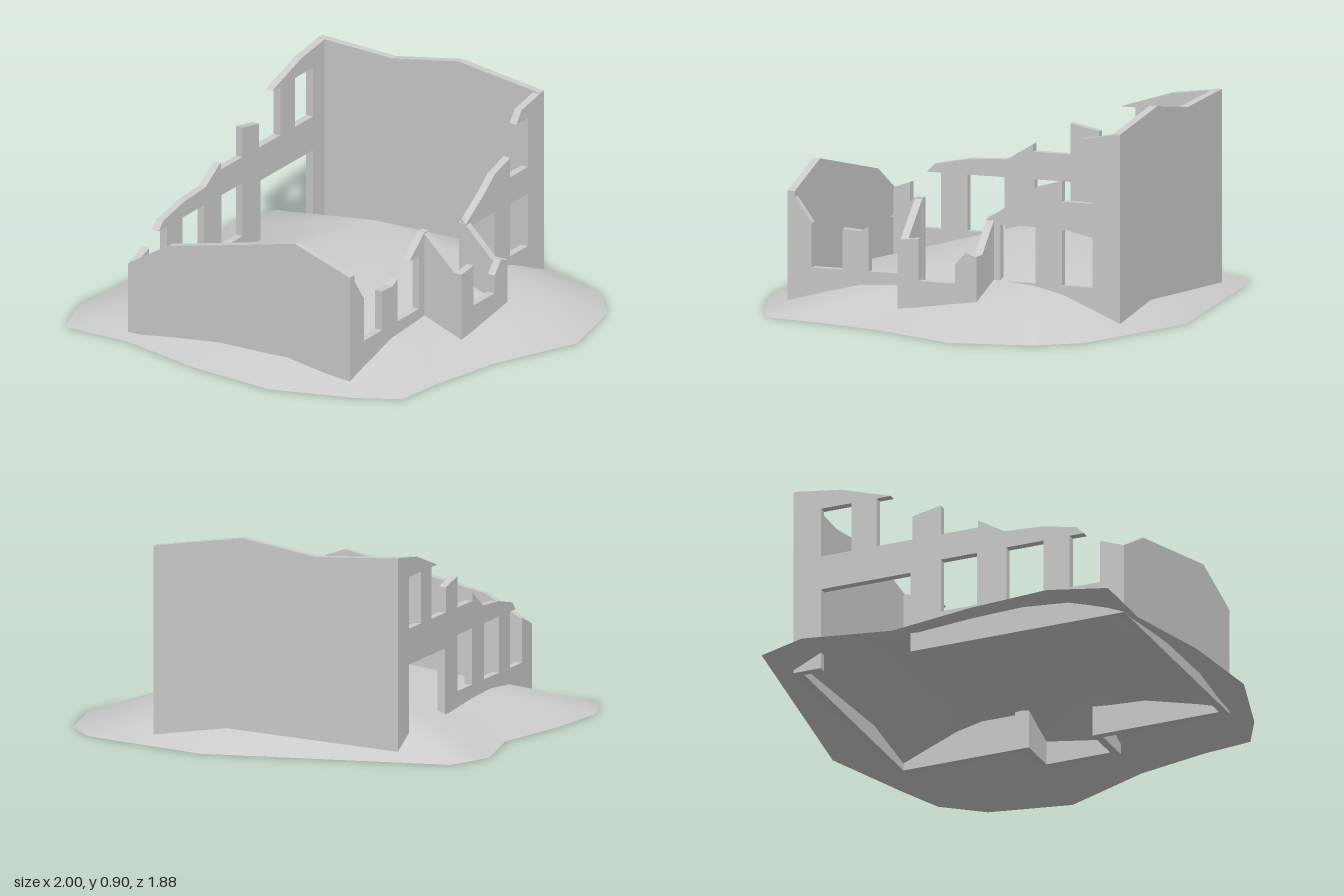
import * as THREE from 'three';

const BASE = 0.02;   // underside of all walls
const T = 0.034;     // wall thickness

export function createModel() {
  const model = new THREE.Group();
  const material = new THREE.MeshStandardMaterial({ color: 0xcccccc });
  const thinMaterial = new THREE.MeshStandardMaterial({ color: 0xcccccc, side: THREE.DoubleSide });

  // Extrudes an elevation outline; holes are [u0, u1, y0, y1]
  function elevation(points, holes = []) {
    const shape = new THREE.Shape(points.map(([u, y]) => new THREE.Vector2(u, y)));
    for (const [u0, u1, y0, y1] of holes) {
      shape.holes.push(new THREE.Path([[u0, y0], [u0, y1], [u1, y1], [u1, y0]]
        .map(([u, y]) => new THREE.Vector2(u, y))));
    }
    return new THREE.ExtrudeGeometry(shape, { depth: T, bevelEnabled: false });
  }
  function add(name, geometry, mat = material) {
    const mesh = new THREE.Mesh(geometry, mat);
    mesh.name = name;
    model.add(mesh);
  }
  // Wall along x, starting at depth z
  function wallX(name, z, points, holes) {
    add(name, elevation(points, holes).translate(0, 0, z));
  }
  // Wall along z, with its +x face at x
  function wallZ(name, x, points, holes) {
    add(name, elevation(points, holes).rotateY(-Math.PI / 2).translate(x, 0, 0));
  }

  // Earth mound: irregular outline rising to one peak, its front foot a little steeper
  const outline = [
    [-0.97, -0.58], [-0.885, -0.8], [0.19, -0.945], [0.6, -0.8], [0.79, -0.725], [0.925, -0.555],
    [1, -0.2], [0.83, 0.19], [0.755, 0.51], [0.725, 0.735], [0.55, 0.83], [0.19, 0.94],
    [-0.21, 0.9], [-0.6, 0.8], [-0.915, 0.8], [-1, 0.555], [-0.965, 0.19], [-0.89, -0.2],
  ];
  const peak = [0, 0.35, -0.18], n = outline.length;
  const pos = [...peak], index = [];
  for (const t of [0.8, 1]) {
    for (const [x, z] of outline) {
      const foot = t < 1 ? 0.03 * Math.max(0, z - Math.abs(x + 0.2)) / 0.9 : 0;
      pos.push(peak[0] + (x - peak[0]) * t, peak[1] * (1 - t) + foot, peak[2] + (z - peak[2]) * t);
    }
  }
  for (let i = 0; i < n; i++) {
    const a = 1 + i, b = 1 + (i + 1) % n;
    index.push(0, b, a, a, b, b + n, a, b + n, a + n);
  }
  const mound = new THREE.BufferGeometry();
  mound.setAttribute('position', new THREE.Float32BufferAttribute(pos, 3));
  mound.setIndex(index);
  mound.computeVertexNormals();
  add('ground', mound, thinMaterial);

  // Solid end walls with broken tops
  wallX('backWall', -0.765, [[-0.63, BASE], [0.475, BASE], [0.475, 0.84], [0.07, 0.897],
    [-0.26, 0.84], [-0.63, 0.857]]);
  wallX('frontWall', 0.75 - T, [[-0.63, BASE], [0.475, BASE], [0.475, 0.5], [0.2, 0.595],
    [-0.43, 0.45], [-0.63, 0.33]]);

  // Left wall, with a doorway near the back
  wallZ('leftWall', -0.63 + T, [
    [-0.75, BASE], [-0.64, BASE], [-0.64, 0.385], [-0.23, 0.385], [-0.23, BASE], [0.735, BASE],
    [0.735, 0.335], [0.64, 0.37], [0.64, 0.18], [0.5, 0.18], [0.5, 0.42], [0.565, 0.42],
    [0.53, 0.455], [0.37, 0.487], [0.2, 0.497], [0.08, 0.57], [0.08, 0.537], [-0.09, 0.537],
    [-0.09, 0.67], [-0.22, 0.645], [-0.22, 0.537], [-0.385, 0.537], [-0.385, 0.758],
    [-0.32, 0.758], [-0.55, 0.83], [-0.75, 0.857],
  ], [[-0.64, -0.5, 0.537, 0.758], [-0.09, 0.075, 0.18, 0.42], [0.21, 0.38, 0.18, 0.42]]);

  // Right wall, in two pieces either side of the bay
  wallZ('rightWallRear', 0.475, [
    [-0.75, BASE], [-0.155, BASE], [-0.155, 0.44], [-0.3, 0.53], [-0.38, 0.59], [-0.5, 0.625],
    [-0.5, 0.537], [-0.64, 0.537], [-0.64, 0.758], [-0.55, 0.758], [-0.59, 0.81], [-0.75, 0.84],
  ], [[-0.64, -0.5, 0.18, 0.415], [-0.38, -0.22, 0.18, 0.42]]);
  wallZ('rightWallFront', 0.475, [
    [0.135, BASE], [0.735, BASE], [0.735, 0.5], [0.64, 0.37], [0.64, 0.18], [0.5, 0.18],
    [0.5, 0.355], [0.42, 0.35], [0.38, 0.37], [0.38, 0.18], [0.21, 0.18], [0.21, 0.42],
    [0.285, 0.42], [0.17, 0.51], [0.135, 0.51],
  ]);

  // Projecting bay
  wallX('bayFrontSide', 0.17 - T, [[0.46, BASE], [0.66, BASE], [0.66, 0.36], [0.625, 0.36],
    [0.475, 0.505], [0.46, 0.505]]);
  wallX('bayRearSide', -0.19, [[0.45, BASE], [0.66, BASE], [0.66, 0.31], [0.6, 0.31], [0.45, 0.46]]);
  wallZ('bayOuterWall', 0.66, [[-0.18, BASE], [0.16, BASE], [0.16, 0.36], [0.075, 0.37],
    [0.075, 0.19], [-0.09, 0.19], [-0.09, 0.27], [-0.14, 0.325], [-0.18, 0.31]]);

  return model;
}
